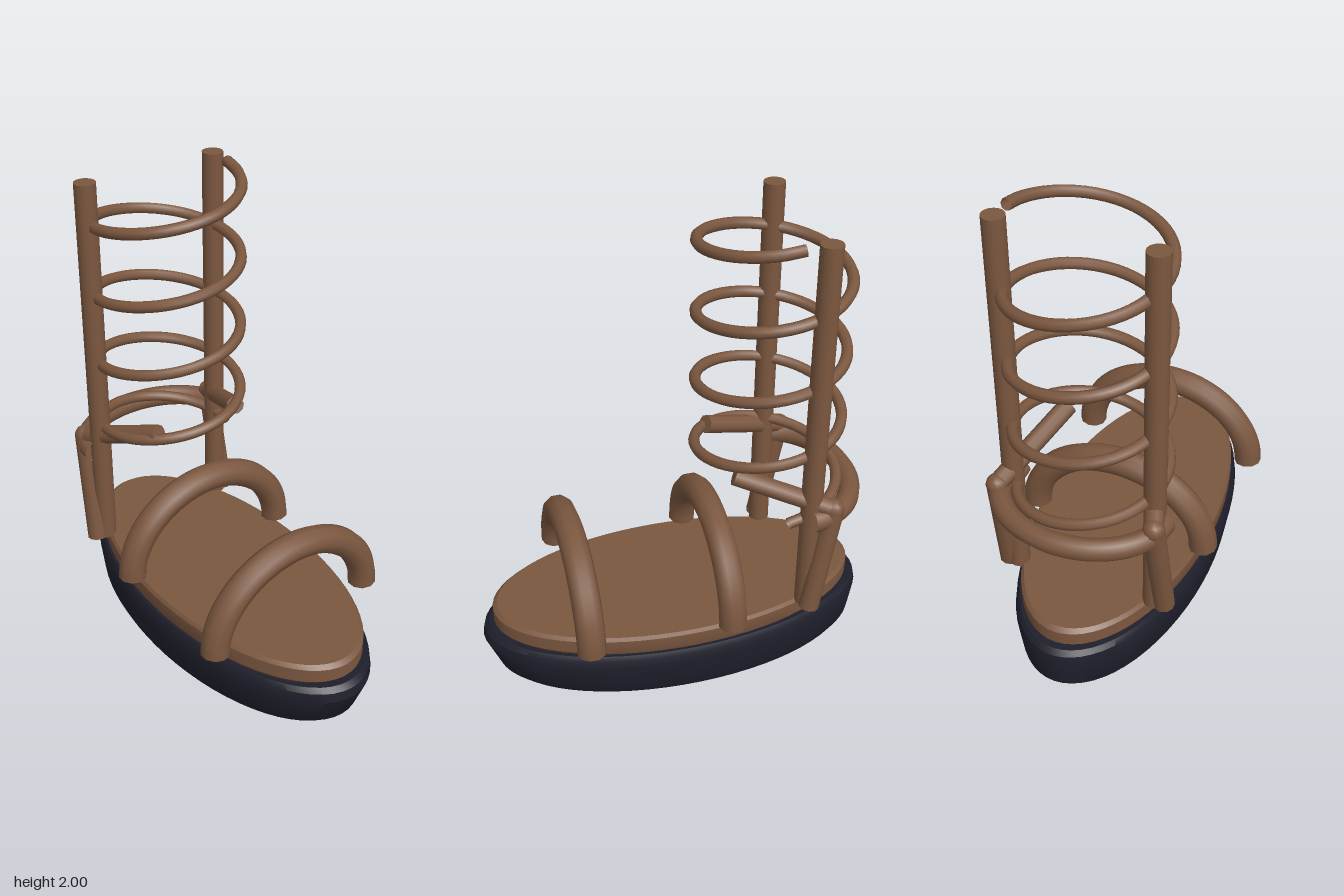
import * as THREE from 'three';
import { toCreasedNormals } from 'three/addons/utils/BufferGeometryUtils.js';

const leather = new THREE.MeshStandardMaterial({ color: 0x7b573f, side: THREE.DoubleSide });
leather.name = 'brown leather';
const rubber = new THREE.MeshStandardMaterial({ color: 0x1f1f2c });
rubber.name = 'dark rubber';

const V = (x, y, z) => new THREE.Vector3(x, y, z);

// Elliptical slab: profile of [scale, height] pairs, sheared along z below shearTop
function slab(profile, rx, rz, shear = 0, shearTop = 1) {
  const lathe = new THREE.LatheGeometry(profile.map(([r, y]) => new THREE.Vector2(r, y)), 64);
  lathe.scale(rx, 1, rz);
  const p = lathe.attributes.position;
  for (let i = 0; i < p.count; i++) {
    p.setZ(i, p.getZ(i) + shear * Math.max(0, 1 - p.getY(i) / shearTop));
  }
  return toCreasedNormals(lathe, 0.5);
}

// Tube through points sampled from f(t), t in 0..1
function tubeAlong(f, samples, segments, radius, sides) {
  const pts = Array.from({ length: samples + 1 }, (_, i) => f(i / samples));
  return new THREE.TubeGeometry(new THREE.CatmullRomCurve3(pts), segments, radius, sides);
}

// Straight round strap between two points
function rod(a, b, radius, sides) {
  const g = new THREE.CylinderGeometry(radius, radius, a.distanceTo(b), sides);
  const dir = b.clone().sub(a).normalize();
  g.applyQuaternion(new THREE.Quaternion().setFromUnitVectors(V(0, 1, 0), dir));
  const mid = a.clone().lerp(b, 0.5);
  return g.translate(mid.x, mid.y, mid.z);
}

export function createModel() {
  const model = new THREE.Group();
  model.name = 'sandal';
  const add = (name, geometry, material = leather, parent = model) => {
    const mesh = new THREE.Mesh(geometry, material);
    mesh.name = name;
    parent.add(mesh);
  };

  // Sole and footbed
  add('sole', slab([[0, 0], [0.92, 0], [0.955, 0.03], [1, 0.17], [0.99, 0.21], [0.965, 0.23], [0, 0.23]],
    0.4, 0.86, -0.02, 0.17), rubber);
  add('footbed', slab([[0, 0.225], [0.975, 0.225], [1, 0.245], [1, 0.305], [0.975, 0.32], [0, 0.32]], 0.38, 0.81));

  // Arched straps over the foot
  for (const [name, z] of [['toeStrap', 0.46], ['instepStrap', -0.15]]) {
    add(name, tubeAlong((t) => V(0.392 * Math.cos(Math.PI * t), 0.325 + 0.353 * Math.sin(Math.PI * t), z),
      24, 40, 0.061, 10));
  }

  // Band around the heel
  add('heelBand', tubeAlong((t) => V(0.345 * Math.cos(Math.PI * t), 0.765, -0.5 - 0.265 * Math.sin(Math.PI * t)),
    24, 40, 0.046, 10));

  // Upright and bent ankle strap on each side
  for (const [side, s] of [['left', 1], ['right', -1]]) {
    const foot = V(0.352 * s, 0.31, -0.505);
    const bend = V(0.335 * s, 0.805, -0.592);
    const tip = V(0.2 * s, 0.955, -0.2);
    const strap = new THREE.Group();
    strap.name = side + 'AnkleStrap';
    model.add(strap);
    add('lowerStrap', rod(foot, bend, 0.045, 10), leather, strap);
    add('upperStrap', rod(bend, tip, 0.04, 10), leather, strap);
    add('strapBend', new THREE.SphereGeometry(0.045, 12, 8).translate(bend.x, bend.y, bend.z), leather, strap);
    add(side + 'Upright', new THREE.CylinderGeometry(0.045, 0.045, 1.68, 16).translate(0.306 * s, 1.15, -0.505));
  }

  // Lacing that spirals up the leg
  const turns = 4;
  add('spiralLace', tubeAlong((t) => {
    const a = 2 * Math.PI * turns * t;
    return V(0.306 * Math.cos(a), 0.745 + 1.232 * t, -0.407 - 0.306 * Math.sin(a));
  }, 96, 200, 0.024, 8));

  return model;
}
